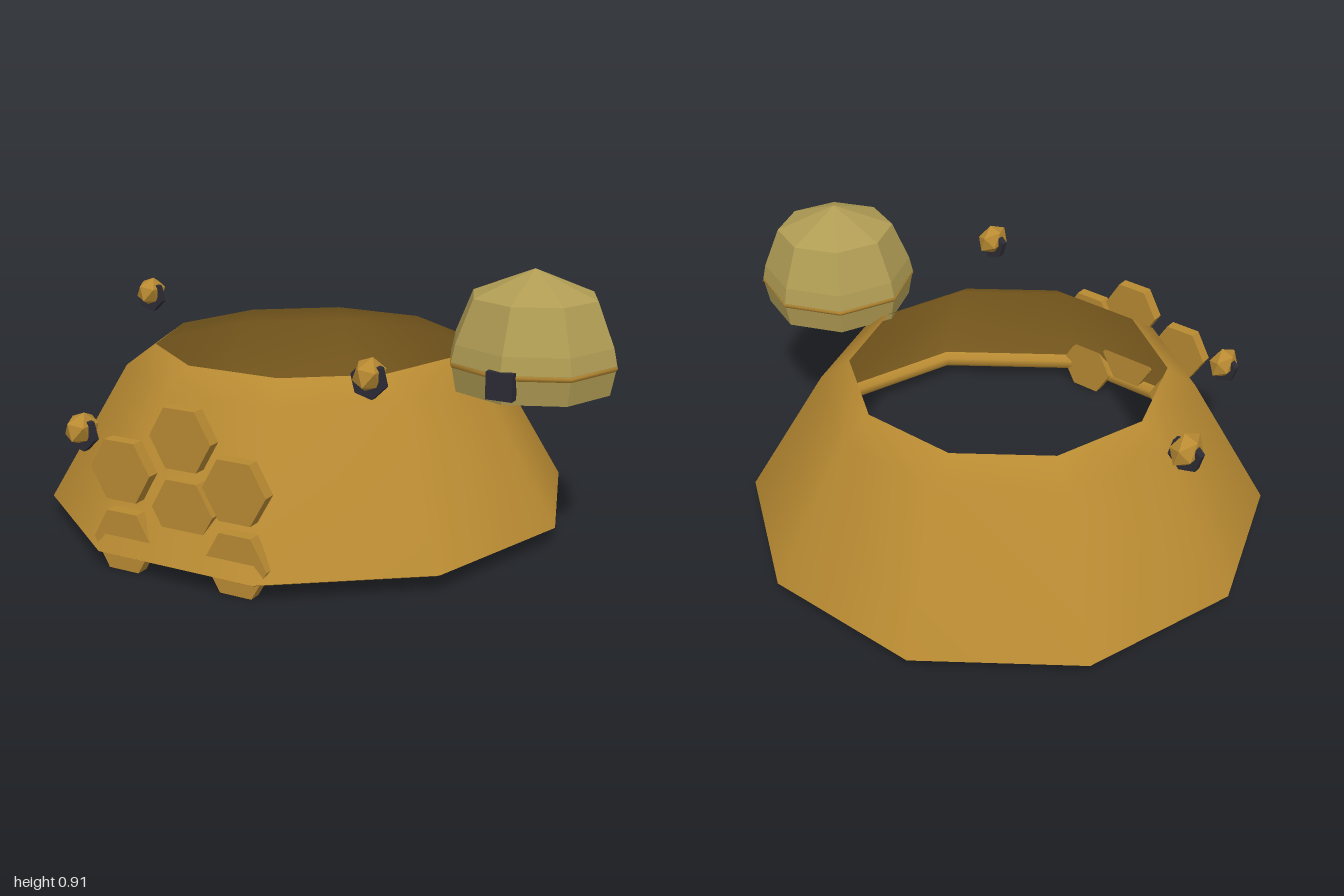
import * as THREE from 'three';

const gold = new THREE.MeshStandardMaterial({ color: 0xb88a32 });
gold.name = 'gold';
const goldShell = new THREE.MeshStandardMaterial({ color: 0xb88a32, side: THREE.DoubleSide });
goldShell.name = 'gold shell';
const straw = new THREE.MeshStandardMaterial({ color: 0xb09c54, side: THREE.DoubleSide });
straw.name = 'straw';
const dark = new THREE.MeshStandardMaterial({ color: 0x2c2b34 });
dark.name = 'dark';

function add(parent, name, geometry, material, x = 0, y = 0, z = 0) {
  const mesh = new THREE.Mesh(geometry, material);
  mesh.name = name;
  mesh.position.set(x, y, z);
  parent.add(mesh);
  return mesh;
}

// Revolved profile with a corner pointing along +x
function revolve(points, sides) {
  return new THREE.LatheGeometry(points.map(p => new THREE.Vector2(...p)), sides, Math.PI / 2);
}

function flat(geometry) {
  const g = geometry.index ? geometry.toNonIndexed() : geometry;
  g.computeVertexNormals();
  return g;
}

// Faceted body with a dark hexagonal stripe round its middle
function makeBee(x, y, z) {
  const bee = new THREE.Group();
  bee.name = 'bee';
  const body = new THREE.IcosahedronGeometry(1, 0);
  body.rotateZ(0.3);
  body.scale(0.046, 0.055, 0.072);
  add(bee, 'beeBody', flat(body), gold, 0, 0.012, 0);
  const stripe = new THREE.CylinderGeometry(0.058, 0.058, 0.025, 6);
  stripe.rotateX(Math.PI / 2);
  stripe.rotateZ(0.25);
  add(bee, 'beeStripe', flat(stripe), dark, 0, -0.005, 0);
  bee.position.set(x, y, z);
  return bee;
}

export function createModel() {
  const model = new THREE.Group();
  model.name = 'hive';

  // Ten-sided open skirt with a rolled lower lip
  add(model, 'skirtWall', revolve([[0.905, 0.06], [0.635, 0.52], [0.535, 0.59]], 10), goldShell, -0.095);
  add(model, 'skirtLip', revolve([
    [0.865, 0.115], [0.843, 0.095], [0.843, 0.07], [0.86, 0.053], [0.885, 0.05], [0.905, 0.06],
  ], 10), goldShell, -0.095);

  // Honeycomb plates: x, y, z
  const hex = new THREE.CylinderGeometry(0.11, 0.11, 0.042, 6);
  hex.rotateY(Math.PI / 2);
  hex.rotateX(Math.PI / 2);
  const plate = flat(hex);
  const cells = [
    [-0.095, 0.447, 0.784], [-0.095, 0.22, 0.784],
    [-0.3, 0.325, 0.812], [0.11, 0.325, 0.812],
    [-0.3, 0.096, 0.812], [0.11, 0.096, 0.812],
  ];
  for (const [x, y, z] of cells) add(model, 'honeycombCell', plate, gold, x, y, z);

  // Eight-sided hat
  const hat = new THREE.Group();
  hat.name = 'hat';
  hat.position.set(0.724, 0, 0.042);
  model.add(hat);
  add(hat, 'hatCrown', flat(revolve([[0.274, 0.635], [0.262, 0.69], [0.205, 0.83], [0, 0.915]], 8)), straw);
  add(hat, 'hatSkirt', flat(revolve([[0.256, 0.54], [0.274, 0.635]], 8)), straw);
  const band = new THREE.TorusGeometry(0.265, 0.012, 6, 8);
  band.rotateX(Math.PI / 2);
  add(hat, 'hatBand', band, gold, 0, 0.628, 0);
  add(hat, 'hatBuckle', new THREE.BoxGeometry(0.086, 0.086, 0.035), dark, 0, 0.602, 0.264);

  // Bees around the hive
  model.add(makeBee(-0.865, 0.65, -0.13), makeBee(-0.525, 0.39, 0.728), makeBee(0.42, 0.65, 0.575));
  return model;
}
